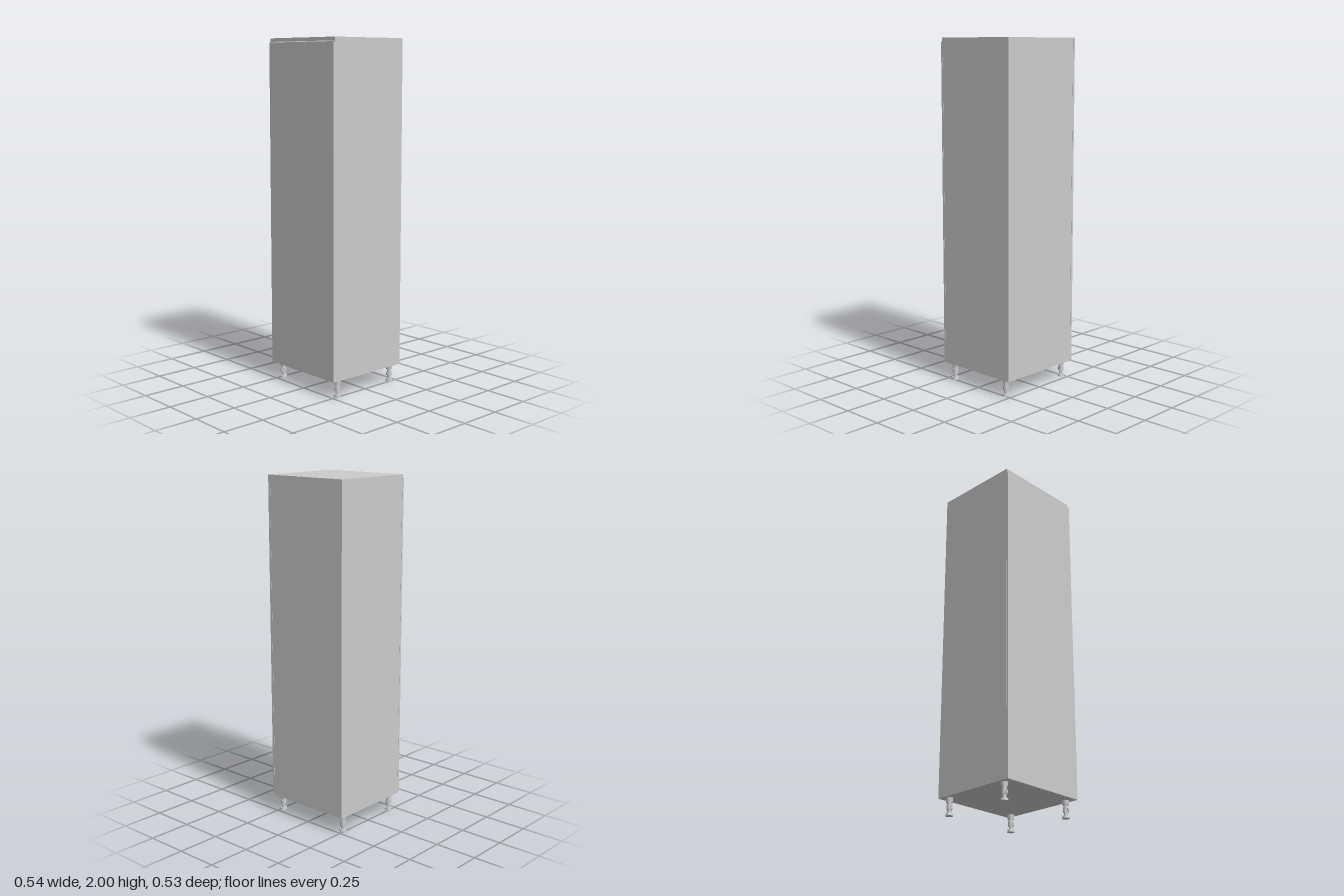
import * as THREE from 'three';

const material = new THREE.MeshStandardMaterial({ color: 0xcccccc });

// Box given by its min and max corners
function panel(name, [x0, y0, z0], [x1, y1, z1]) {
  const mesh = new THREE.Mesh(new THREE.BoxGeometry(x1 - x0, y1 - y0, z1 - z0), material);
  mesh.name = name;
  mesh.position.set((x0 + x1) / 2, (y0 + y1) / 2, (z0 + z1) / 2);
  return mesh;
}

const W = 0.272;       // half width
const BASE = 0.1;      // underside of the cabinet
const TOP = 2;
const BACK = -0.263;
const FRONT = 0.25;    // front of the carcass
const T = 0.014;       // board thickness

function createCarcass() {
  const carcass = new THREE.Group();
  carcass.name = 'carcass';
  carcass.add(
    panel('leftSide', [W - T, BASE, BACK], [W, TOP, FRONT]),
    panel('rightSide', [-W, BASE, BACK], [-W + T, TOP, FRONT]),
    panel('topBoard', [-W + T, TOP - T, BACK + 0.004], [W - T, TOP, FRONT]),
    panel('bottomBoard', [-W + T, BASE, BACK + 0.004], [W - T, BASE + T, FRONT]),
    panel('backPanel', [-W + T, BASE, BACK + 0.001], [W - T, TOP - 0.001, BACK + 0.004])
  );
  return carcass;
}

// Door section (z, y) with a finger-grip step along the top, extruded across the width
function createDoor() {
  const section = new THREE.Shape([
    [0.251, BASE], [0.263, BASE], [0.263, 1.976], [0.259, 1.98],
    [0.258, 1.972], [0.254, 1.972], [0.254, TOP], [0.251, TOP]
  ].map(([z, y]) => new THREE.Vector2(-z, y)));
  const geometry = new THREE.ExtrudeGeometry(section, { depth: 2 * W, bevelEnabled: false });
  geometry.rotateY(Math.PI / 2).translate(-W, 0, 0);
  const door = new THREE.Mesh(geometry, material);
  door.name = 'door';
  return door;
}

// Adjustable leg: foot pad, threaded stem, sleeve and mounting flange
function createLeg(name, x, z) {
  const leg = new THREE.Group();
  leg.name = name;
  const rings = [
    ['footPad', 0.021, 0.019, 0, 0.014],
    ['stem', 0.011, 0.011, 0.014, 0.034],
    ['sleeve', 0.016, 0.016, 0.034, 0.06],
    ['neck', 0.013, 0.013, 0.06, 0.074],
    ['flange', 0.018, 0.02, 0.074, BASE]
  ];
  for (const [part, bottom, top, y0, y1] of rings) {
    const ring = new THREE.Mesh(new THREE.CylinderGeometry(top, bottom, y1 - y0, 24), material);
    ring.name = part;
    ring.position.y = (y0 + y1) / 2;
    leg.add(ring);
  }
  leg.add(panel('plinthClip', [-0.006, 0.038, 0.012], [0.006, 0.054, 0.02]));
  leg.position.set(x, 0, z);
  return leg;
}

export function createModel() {
  const model = new THREE.Group();
  model.name = 'tallCabinet';
  model.add(createCarcass(), createDoor());
  for (const [side, x] of [['Left', 0.238], ['Right', -0.238]]) {
    model.add(createLeg('front' + side + 'Leg', x, 0.205), createLeg('back' + side + 'Leg', x, -0.21));
  }
  return model;
}
